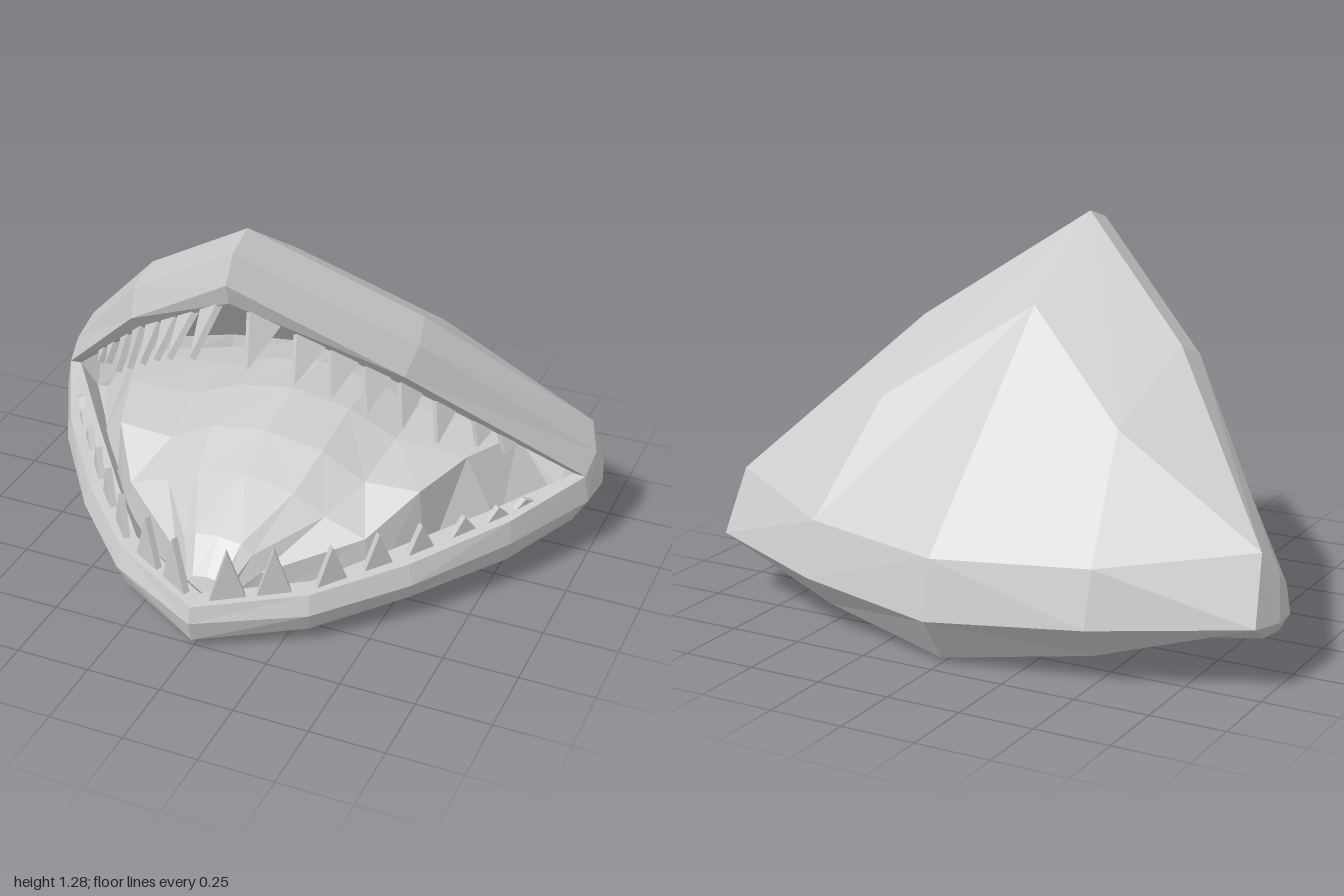
import * as THREE from 'three';

const mat = new THREE.MeshStandardMaterial({ color: 0xcccccc, flatShading: true, side: THREE.DoubleSide });

// Mirrored skin through rows of half-width points; rows rise, points run front to back
function loft(name, ...bands) {
  const pos = [];
  const tri = (a, b, c) => {
    const key = [a, b, c].map(String);
    if (new Set(key).size < 3) return;
    pos.push(...a, ...b, ...c);
    for (const [x, y, z] of [a, c, b]) pos.push(-x, y, z);
  };
  for (const rows of bands) {
    for (let r = 0; r + 1 < rows.length; r++) {
      const lo = rows[r], hi = rows[r + 1];
      for (let i = 0; i + 1 < lo.length; i++) {
        tri(lo[i], lo[i + 1], hi[i + 1]);
        tri(lo[i], hi[i + 1], hi[i]);
      }
    }
  }
  const g = new THREE.BufferGeometry();
  g.setAttribute('position', new THREE.Float32BufferAttribute(pos, 3));
  g.computeVertexNormals();
  const mesh = new THREE.Mesh(g, mat);
  mesh.name = name;
  return mesh;
}

// Point and direction on a lip path at a given x
function onPath(path, x) {
  let i = 0;
  while (i < path.length - 2 && path[i + 1][0] < x) i++;
  const a = new THREE.Vector3(...path[i]), b = new THREE.Vector3(...path[i + 1]);
  return { point: a.clone().lerp(b, (x - a.x) / (b.x - a.x)), dir: b.sub(a).normalize() };
}

// Thin triangular blade from a base on the lip to its tip
function tooth(base, dir, tip, halfWidth) {
  const shape = new THREE.Shape([[-halfWidth, -0.1], [halfWidth, -0.1], [0, 1]].map(p => new THREE.Vector2(...p)));
  const g = new THREE.ExtrudeGeometry(shape, { depth: 0.022, bevelEnabled: false });
  g.translate(0, 0, -0.011);
  const up = tip.clone().sub(base);
  const out = dir.clone().cross(up).normalize();
  g.applyMatrix4(new THREE.Matrix4().makeBasis(dir, up, out).setPosition(base));
  return new THREE.Mesh(g, mat);
}

function toothRow(name, path, tips, halfWidth) {
  const row = new THREE.Group();
  row.name = name;
  tips.forEach(([x, y, z], i) => {
    const { point, dir } = onPath(path, x);
    const tip = z === undefined ? new THREE.Vector3(x, y, point.z) : new THREE.Vector3(x, y, z);
    for (const s of [1, -1]) {
      const flip = v => new THREE.Vector3(v.x * s, v.y, v.z);
      const mesh = tooth(flip(point), flip(dir).multiplyScalar(s), flip(tip), halfWidth - i * 0.003);
      mesh.name = name + 'Tooth';
      row.add(mesh);
    }
  });
  return row;
}

export function createModel() {
  const model = new THREE.Group();
  model.name = 'openJaws';

  // Shared corners of the mouth and cheeks
  const corner = [0.97, 0.295, -0.25], innerCorner = [0.93, 0.295, -0.255];
  const cheekLow = [0.985, 0.2, -0.25], cheekWide = [1, 0.21, -0.37], cheekBack = [0.97, 0.22, -0.485];
  const templeFront = [0.98, 0.35, -0.33], temple = [0.945, 0.43, -0.39];
  const backMid = [[0.5, 0.2, -0.69], [0, 0.175, -0.795]];
  const backTop = [[0.5, 0.38, -0.64], [0, 0.367, -0.755]];

  // Lower jaw: keel, bottom edge, widest line
  const keel = [[0, 0.035, 0.77], [0, 0.02, 0.55], [0, 0.003, 0.32], [0, 0.006, 0], [0, 0.01, -0.2],
    [0, 0.014, -0.4], [0, 0.016, -0.5], [0, 0.018, -0.6], [0, 0.02, -0.685]];
  const bottomEdge = [[0, 0.035, 0.77], [0.33, 0.055, 0.59], [0.57, 0.08, 0.34], [0.8, 0.1, 0.04],
    [0.94, 0.128, -0.23], [0.95, 0.155, -0.38], cheekBack, [0.48, 0.08, -0.58], [0, 0.02, -0.685]];
  const wide = [[0, 0.11, 0.79], [0.34, 0.125, 0.62], [0.59, 0.15, 0.37], [0.82, 0.18, 0.06],
    cheekLow, cheekWide, cheekBack, ...backMid];
  model.add(loft('lowerJaw', [keel, bottomEdge, wide]));

  // Lower lip and mouth floor
  const lipOut = [[0, 0.165, 0.775], [0.33, 0.19, 0.6], [0.575, 0.22, 0.355], [0.81, 0.26, 0.05], corner];
  const lipIn = [[0, 0.17, 0.7], [0.31, 0.195, 0.53], [0.5, 0.225, 0.3], [0.72, 0.255, 0.02], innerCorner];
  const floorBack = [[0.88, 0.2, -0.28], [0.46, 0.12, -0.5], [0, 0.1, -0.62]];
  const floor = [[0, 0.11, 0.64], [0.28, 0.12, 0.48], [0.46, 0.12, 0.27], [0.68, 0.15, 0], ...floorBack];
  model.add(loft('lowerLip', [wide.slice(0, 5), lipOut, lipIn, floor.slice(0, 5)]));
  model.add(loft('mouthFloor', [floor, floor.map(p => [0, 0.1, p[2]])]));

  // Upper lip, crown and back of the head
  const crown = [[0, 1.28, 0.31], [0.48, 0.93, 0.02], temple];
  const brow = [[0, 1.245, 0.42], [0.5, 0.88, 0.12], templeFront];
  const snout = [[0, 1.16, 0.475], [0.48, 0.8, 0.19], corner];
  const upperIn = [[0, 1.09, 0.455], [0.465, 0.745, 0.15], innerCorner];
  const palate = [[0, 1.1, 0.33], [0.43, 0.78, 0.02], [0.88, 0.36, -0.34]];
  model.add(loft('upperLip', [palate, upperIn, snout, brow, crown]));
  const ridge = [0, 1.03, -0.08], dome = [0.43, 0.73, -0.33];
  model.add(loft('skull',
    [[...crown, ...backTop], [ridge, dome, dome, dome, ridge]],
    [[cheekLow, cheekWide, cheekBack, ...backMid], [corner, templeFront, temple, ...backTop]]));

  // Mouth roof and throat wall
  const throat = [[0.46, 0.36, -0.56], [0, 0.35, -0.68]];
  const roof = [0, 0.95, -0.1], roofSide = [0.4, 0.67, -0.33];
  model.add(loft('mouthCavity',
    [[roof, roofSide, roofSide, roofSide, roof], [...palate, ...throat]],
    [[innerCorner, ...floorBack], [innerCorner, palate[2], ...throat]]));

  // Tongue: half sections from outer foot to centre, front to back
  const sections = [
    [0.65, [0.07, 0.1], [0.07, 0.14], [0.07, 0.17], [0.05, 0.19], [0, 0.2]],
    [0.56, [0.16, 0.1], [0.15, 0.2], [0.12, 0.26], [0.08, 0.29], [0, 0.3]],
    [0.35, [0.45, 0.1], [0.42, 0.27], [0.28, 0.32], [0.17, 0.38], [0, 0.41]],
    [0.18, [0.57, 0.1], [0.54, 0.38], [0.35, 0.37], [0.2, 0.45], [0, 0.48]],
    [-0.05, [0.74, 0.15], [0.62, 0.4], [0.37, 0.41], [0.2, 0.485], [0, 0.52]],
    [-0.28, [0.84, 0.2], [0.72, 0.38], [0.36, 0.4], [0.2, 0.47], [0, 0.5]],
    [-0.52, [0.5, 0.15], [0.42, 0.34], [0.3, 0.37], [0.18, 0.42], [0, 0.44]],
  ];
  const tongueRows = [1, 2, 3, 4, 5].map(k => sections.map(s => [...s[k], s[0]]));
  model.add(loft('tongue', tongueRows));

  // Teeth
  const lowerPath = lipOut.map((p, i) => p.map((v, k) => (v + lipIn[i][k]) / 2));
  model.add(toothRow('lowerTeeth', lowerPath, [[0.09, 0.35], [0.22, 0.35], [0.37, 0.335], [0.48, 0.335],
    [0.58, 0.325], [0.68, 0.305], [0.76, 0.3], [0.82, 0.29]], 0.063));
  model.add(toothRow('upperTeeth', upperIn, [[0.09, 0.915, 0.53], [0.21, 0.845, 0.45], [0.3, 0.775, 0.365],
    [0.39, 0.7, 0.29], [0.48, 0.62, 0.21], [0.57, 0.54, 0.125], [0.67, 0.49, 0.01], [0.74, 0.44, -0.06]], 0.062));
  return model;
}
